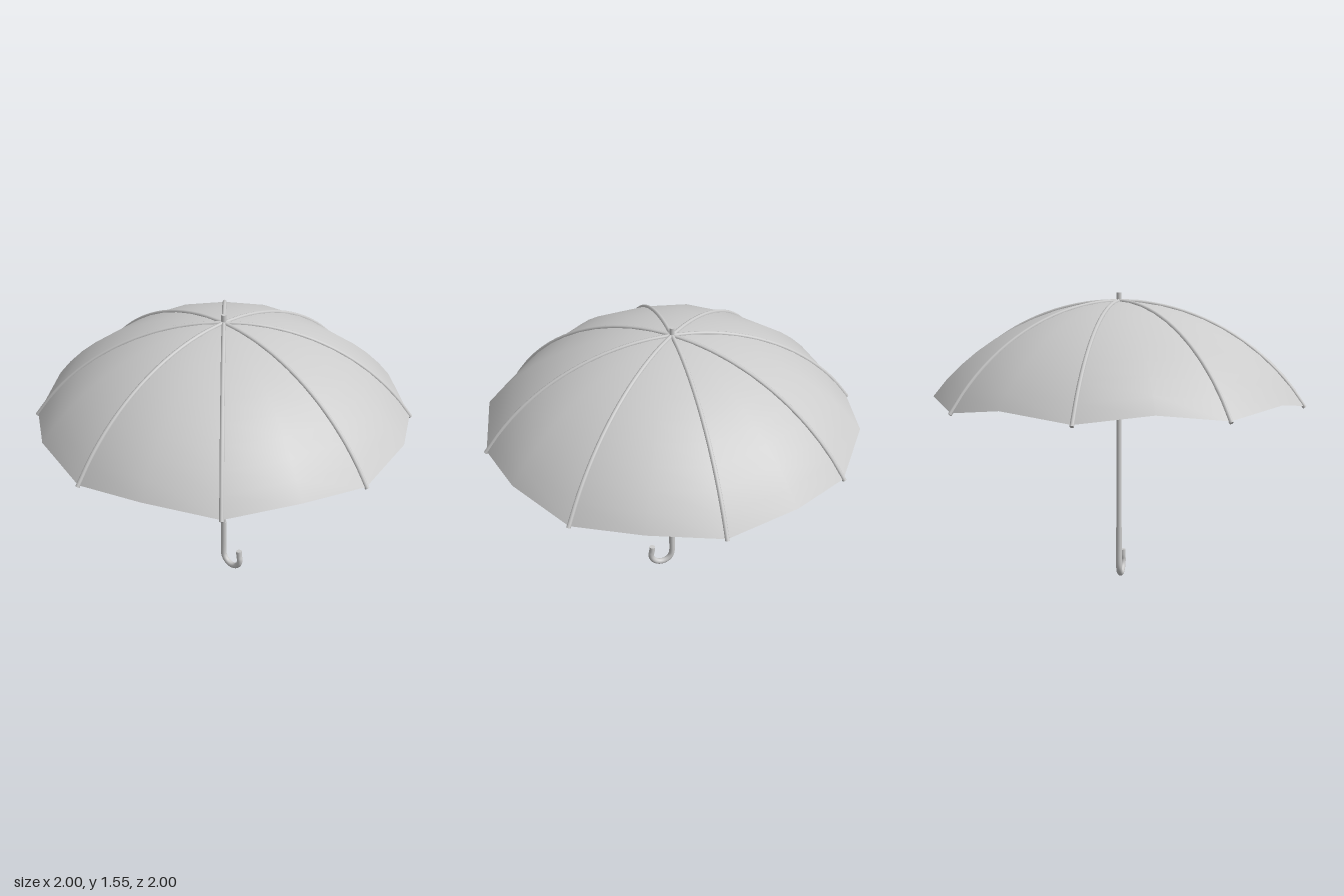
import * as THREE from 'three';
import { mergeVertices } from 'three/addons/utils/BufferGeometryUtils.js';

const RIBS = 8;
const TWIST = -0.042;           // the ribs sit slightly off the axes
const RIM = 0.985, APEX = 1.51, DOME = 1.174;

const material = new THREE.MeshStandardMaterial({ color: 0xcccccc });
const thin = new THREE.MeshStandardMaterial({ color: 0xcccccc, side: THREE.DoubleSide });

// height of the dome at a distance from the shaft
const domeY = (r) => APEX - DOME + Math.sqrt(DOME * DOME - r * r);

function add(parent, name, geometry, mat = material) {
  const mesh = new THREE.Mesh(geometry, mat);
  mesh.name = name;
  parent.add(mesh);
  return mesh;
}

function rod(parent, name, radius, y0, y1, sides = 16) {
  const mesh = add(parent, name, new THREE.CylinderGeometry(radius, radius, y1 - y0, sides));
  mesh.position.y = (y0 + y1) / 2;
  return mesh;
}

// tube along a curve, closed with a disc at each end
function cappedTube(parent, name, curve, segments, radius, sides) {
  add(parent, name, new THREE.TubeGeometry(curve, segments, radius, sides));
  for (const t of [0, 1]) {
    const cap = add(parent, name + 'End', new THREE.CircleGeometry(radius, sides));
    const direction = curve.getTangent(t).multiplyScalar(t ? 1 : -1);
    cap.position.copy(curve.getPoint(t));
    cap.quaternion.setFromUnitVectors(new THREE.Vector3(0, 0, 1), direction);
  }
}

// sixteen-sided dome whose edge rises between the ribs
function canopyGeometry() {
  const rings = 10, profile = [];
  for (let j = 0; j <= rings; j++) {
    const r = RIM * Math.sin((j / rings) * 0.995) / Math.sin(0.995);
    profile.push(new THREE.Vector2(r, domeY(r)));
  }
  profile.reverse();
  const geometry = new THREE.LatheGeometry(profile, RIBS * 2, TWIST, Math.PI * 2);
  const p = geometry.attributes.position;
  for (let k = 0; k < p.count; k++) {
    const spoke = Math.floor(k / (rings + 1));
    if (spoke % 2) {
      const t = Math.hypot(p.getX(k), p.getZ(k)) / RIM;
      p.setY(k, p.getY(k) + 0.045 * t ** 4);
    }
  }
  geometry.deleteAttribute('uv');
  geometry.deleteAttribute('normal');
  const welded = mergeVertices(geometry, 1e-4);
  welded.computeVertexNormals();
  return welded;
}

export function createModel() {
  const model = new THREE.Group();
  model.name = 'umbrella';

  add(model, 'canopy', canopyGeometry(), thin);

  // shaft, slimmer above the runner, and the tip
  rod(model, 'shaft', 0.0135, 0.25, 1.33);
  rod(model, 'upperShaft', 0.011, 1.33, 1.51);
  rod(model, 'runner', 0.016, 1.33, 1.365);
  rod(model, 'tip', 0.013, 1.49, 1.555);

  // hooked handle
  const points = [new THREE.Vector3(0, 0.285, 0), new THREE.Vector3(0, 0.18, 0)];
  const R = 0.062;
  for (let i = 0; i <= 10; i++) {
    const a = Math.PI + (i / 10) * Math.PI * 1.12;
    points.push(new THREE.Vector3(R + R * Math.cos(a), 0.078 + R * Math.sin(a), 0));
  }
  points.push(new THREE.Vector3(0.117, 0.136, 0));
  cappedTube(model, 'handle', new THREE.CatmullRomCurve3(points), 48, 0.016, 16);

  // curved ribs with a straight stretcher under each
  for (let i = 0; i < RIBS; i++) {
    const spoke = new THREE.Group();
    spoke.name = 'spoke' + (i + 1);
    spoke.rotation.y = TWIST + (i / RIBS) * Math.PI * 2;
    model.add(spoke);

    const path = [];
    for (let j = 0; j <= 8; j++) {
      const r = 0.99 * Math.sin((j / 8) * 1.0) / Math.sin(1.0);
      path.push(new THREE.Vector3(r, domeY(r), 0));
    }
    cappedTube(spoke, 'rib', new THREE.CatmullRomCurve3(path), 20, 0.011, 8);

    const stretcher = new THREE.LineCurve3(
      new THREE.Vector3(0.008, 1.355, 0), new THREE.Vector3(0.5, 1.392, 0));
    add(spoke, 'stretcher', new THREE.TubeGeometry(stretcher, 1, 0.004, 6));
  }
  return model;
}
